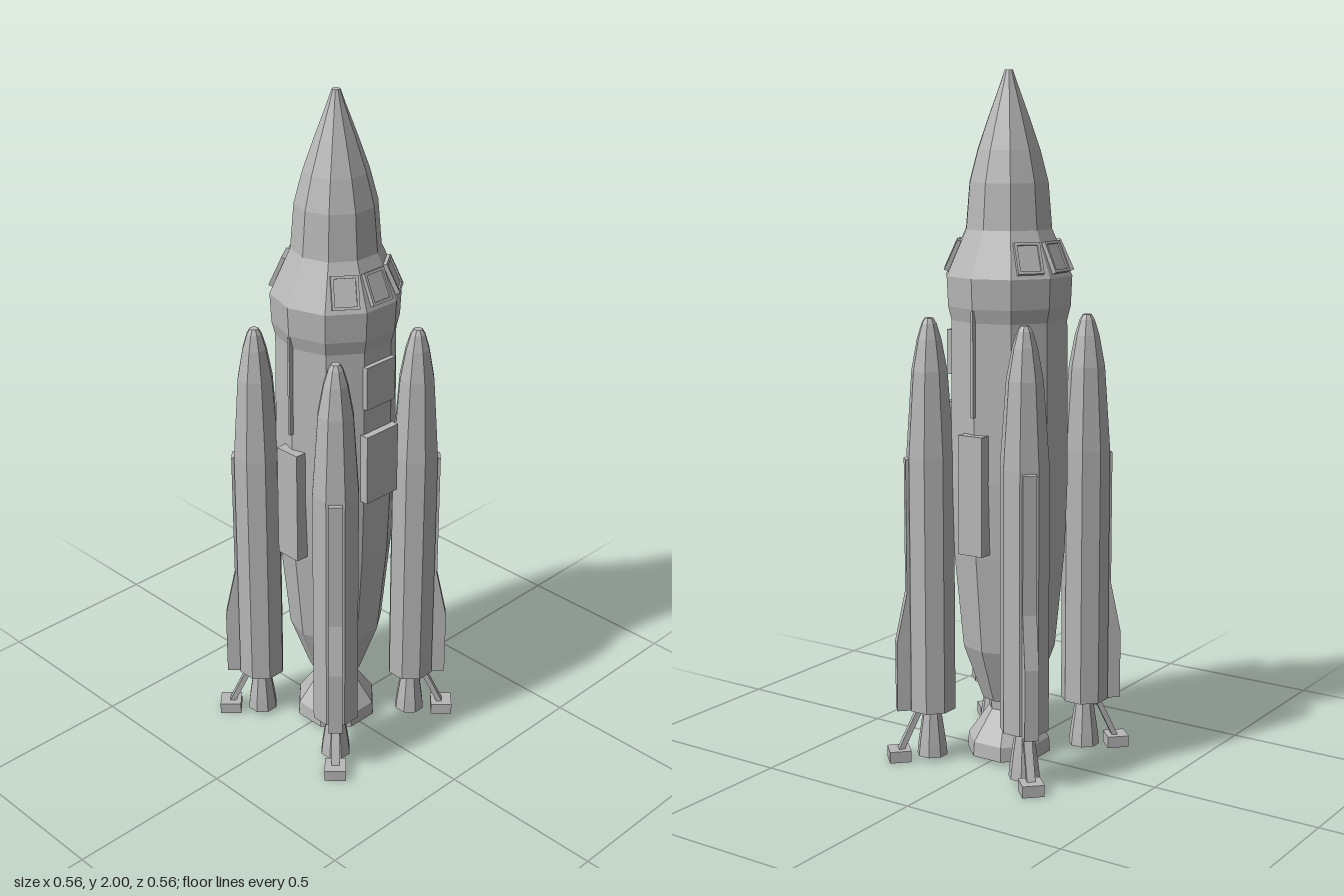
import * as THREE from 'three';

const hull = new THREE.MeshStandardMaterial({ color: 0xb8b8b8, flatShading: true, side: THREE.DoubleSide });
hull.name = 'hull grey';

function part(name, geometry, parent, x = 0, y = 0, z = 0) {
  const mesh = new THREE.Mesh(geometry, hull);
  mesh.name = name;
  mesh.position.set(x, y, z);
  parent.add(mesh);
  return mesh;
}

// Faceted body of revolution from [radius, height] pairs, with a flat side facing +z
function lathe(profile, sides) {
  const points = profile.map(([r, y]) => new THREE.Vector2(r, y));
  return new THREE.LatheGeometry(points, sides, Math.PI / sides);
}

// Box spanning two corners
function block(name, parent, [x0, y0, z0], [x1, y1, z1]) {
  return part(name, new THREE.BoxGeometry(x1 - x0, y1 - y0, z1 - z0), parent,
    (x0 + x1) / 2, (y0 + y1) / 2, (z0 + z1) / 2);
}

// One booster, built on its own axis with the fin pointing to +x
function createBooster() {
  const booster = new THREE.Group();
  booster.name = 'booster';

  part('boosterTank', lathe([
    [0, 0.155], [0.0705, 0.155], [0.0705, 0.915], [0.053, 1.16],
    [0.036, 1.25], [0.022, 1.295], [0.013, 1.31], [0, 1.31],
  ], 8), booster);
  part('boosterNozzle', lathe([[0.046, 0.012], [0.042, 0.05], [0.026, 0.157]], 8), booster);

  // Spine running down into the flared fin
  const outline = [[0.03, 0.155], [0.105, 0.155], [0.105, 0.36], [0.074, 0.51], [0.074, 0.905], [0.03, 0.92]];
  const shape = new THREE.Shape(outline.map(([x, y]) => new THREE.Vector2(x, y)));
  part('fin', new THREE.ExtrudeGeometry(shape, { depth: 0.04, bevelEnabled: false }), booster, 0, 0, -0.02);

  // Landing leg and foot
  const top = new THREE.Vector3(0.034, 0.16, 0);
  const foot = new THREE.Vector3(0.097, 0.025, 0);
  const dir = foot.clone().sub(top);
  const leg = part('landingLeg', new THREE.BoxGeometry(0.016, dir.length(), 0.024), booster);
  leg.position.copy(top).add(foot).multiplyScalar(0.5);
  leg.rotation.z = Math.atan2(dir.x, -dir.y);
  block('landingFoot', booster, [0.067, 0, -0.032], [0.131, 0.034, 0.032]);
  return booster;
}

export function createModel() {
  const rocket = new THREE.Group();
  rocket.name = 'rocket';

  // Main fuselage with nose cone
  part('fuselage', lathe([
    [0, 0.18], [0.08, 0.18], [0.14, 0.345], [0.168, 0.63], [0.176, 0.85], [0.172, 1.305],
    [0.182, 1.345], [0.186, 1.43], [0.127, 1.56], [0.116, 1.69], [0.092, 1.78],
    [0.06, 1.87], [0.026, 1.96], [0.012, 2], [0, 2],
  ], 10), rocket);

  // Main engine
  part('engineNeck', lathe([[0.06, 0.146], [0.063, 0.185]], 8), rocket);
  part('engineBell', lathe([[0.125, 0.012], [0.122, 0.055], [0.056, 0.15]], 8), rocket);

  // Sloping window frames, three at the front and three at the back
  for (const base of [0, Math.PI]) {
    for (const step of [-1, 0, 1]) {
      const mount = new THREE.Group();
      mount.name = 'windowMount';
      mount.rotation.y = base + step * Math.PI / 5;
      const tilted = new THREE.Group();
      tilted.name = 'window';
      tilted.position.set(0, 1.483, 0.153);
      tilted.rotation.x = -0.42;
      block('windowPane', tilted, [-0.034, -0.044, -0.01], [0.034, 0.044, 0.008]);
      for (const s of [-1, 1]) {
        block('windowSide', tilted, [s * 0.034 - 0.004, -0.044, -0.01], [s * 0.034 + 0.004, 0.044, 0.013]);
        block('windowRail', tilted, [-0.038, s * 0.042 - 0.004, -0.01], [0.038, s * 0.042 + 0.004, 0.013]);
      }
      mount.add(tilted);
      rocket.add(mount);
    }
  }

  // Front hatches
  block('lowerHatch', rocket, [-0.062, 0.842, 0.15], [0.062, 1.055, 0.187]);
  block('upperHatch', rocket, [-0.056, 1.135, 0.15], [0.056, 1.265, 0.178]);

  // Side panels and slim rails
  for (const s of [-1, 1]) {
    block('sidePanel', rocket, [s * 0.173 - 0.023, 0.645, -0.04], [s * 0.173 + 0.023, 0.99, 0.04]);
    block('sideRail', rocket, [s * 0.175 - 0.01, 1.04, -0.004], [s * 0.175 + 0.01, 1.34, 0.004]);
  }

  // Four boosters on the diagonals
  for (let i = 0; i < 4; i++) {
    const booster = createBooster();
    const a = Math.PI / 4 + i * Math.PI / 2;
    booster.position.set(0.2305 * Math.cos(a), 0, -0.2305 * Math.sin(a));
    booster.rotation.y = a;
    // Keep the tank flats square to the hull
    rocket.add(booster);
  }
  return rocket;
}
